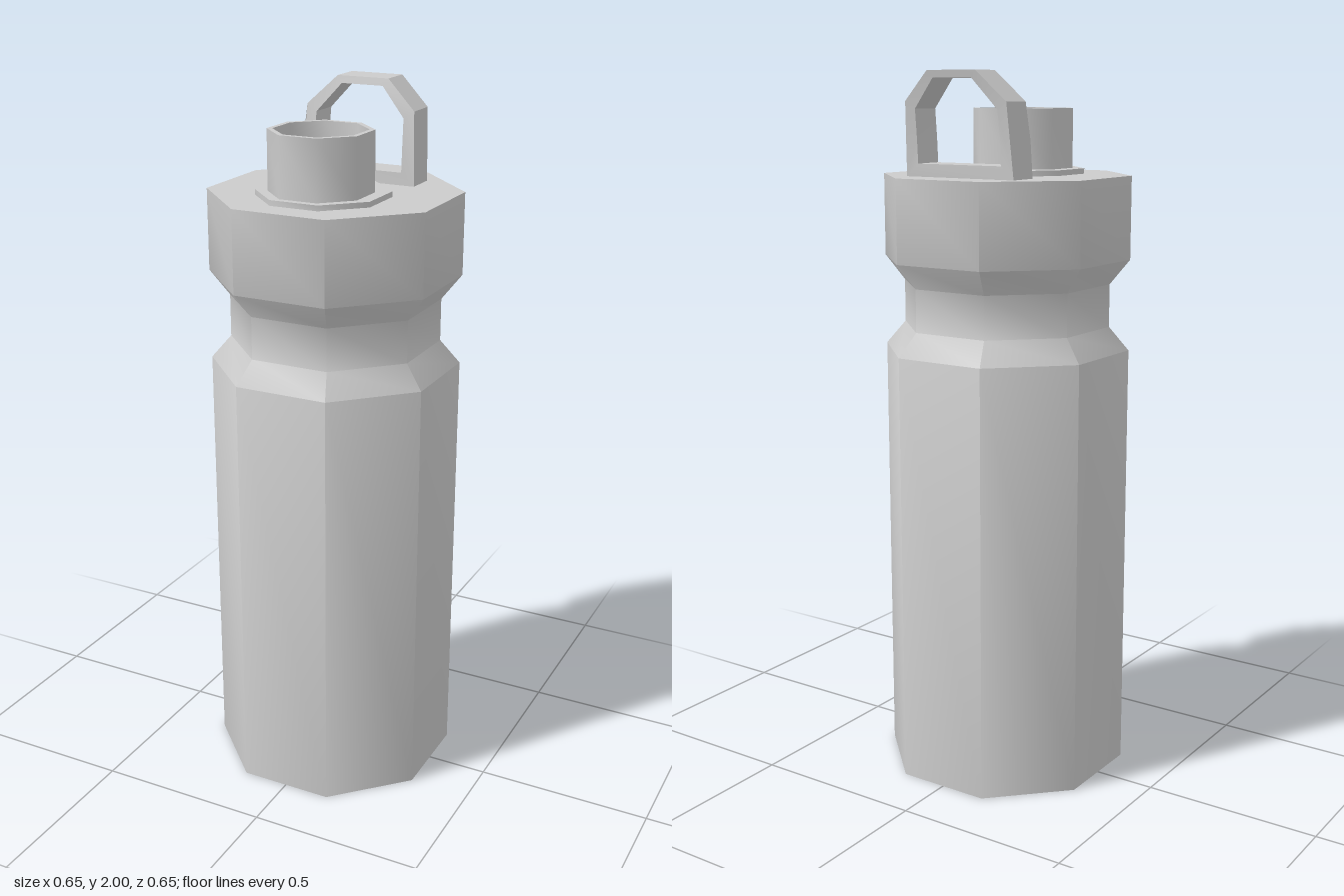
import * as THREE from 'three';
import { toCreasedNormals } from 'three/addons/utils/BufferGeometryUtils.js';

const material = new THREE.MeshStandardMaterial({ color: 0xcccccc, side: THREE.DoubleSide });

// Eight-sided turned part; profile is [distance to flat side, height]
function octagonal(name, profile, x = 0, z = 0) {
  const k = 1 / Math.cos(Math.PI / 8);
  const points = profile.map(([r, y]) => new THREE.Vector2(r * k, y));
  const geometry = new THREE.LatheGeometry(points, 8, Math.PI / 8);
  const mesh = new THREE.Mesh(toCreasedNormals(geometry, 0.9), material);
  mesh.name = name;
  mesh.position.set(x, 0, z);
  return mesh;
}

// Mirrors one side of an outline (right half, bottom to top) into a closed loop
function mirrored(half) {
  const left = half.map(([x, y]) => [-x, y]).reverse();
  return [...half, ...left].map(([x, y]) => new THREE.Vector2(x, y));
}

function carryLoop() {
  const shape = new THREE.Shape(mirrored([[0.174, 1.72], [0.17, 1.82], [0.163, 1.92], [0.077, 2]]));
  shape.holes.push(new THREE.Path(mirrored([[0.135, 1.755], [0.135, 1.82], [0.133, 1.9], [0.062, 1.98]])));
  const geometry = new THREE.ExtrudeGeometry(shape, { depth: 0.091, bevelEnabled: false });
  // Sweep the loop backwards as it rises
  const p = geometry.attributes.position;
  for (let i = 0; i < p.count; i++) {
    const t = (p.getY(i) - 1.72) / 0.28;
    p.setZ(i, p.getZ(i) - 0.224 - 0.035 * t * t);
  }
  const mesh = new THREE.Mesh(toCreasedNormals(geometry, 0.6), material);
  mesh.name = 'carryLoop';
  return mesh;
}

export function createModel() {
  const group = new THREE.Group();
  group.name = 'bottle';
  // Open-bottomed body with a pinched neck and flat lid
  group.add(octagonal('body', [
    [0.325, 0], [0.325, 1.235], [0.273, 1.3], [0.273, 1.42],
    [0.325, 1.49], [0.325, 1.72], [0, 1.72],
  ]));
  // Base plate under the spout
  group.add(octagonal('spoutFlange', [[0.17, 1.715], [0.17, 1.735], [0, 1.735]], 0.005, 0.078));
  // Hollow spout with a thin rim
  group.add(octagonal('spout', [
    [0.132, 1.73], [0.132, 1.9], [0.118, 1.9], [0.118, 1.74], [0, 1.74],
  ], 0.007, 0.096));
  group.add(carryLoop());
  return group;
}
